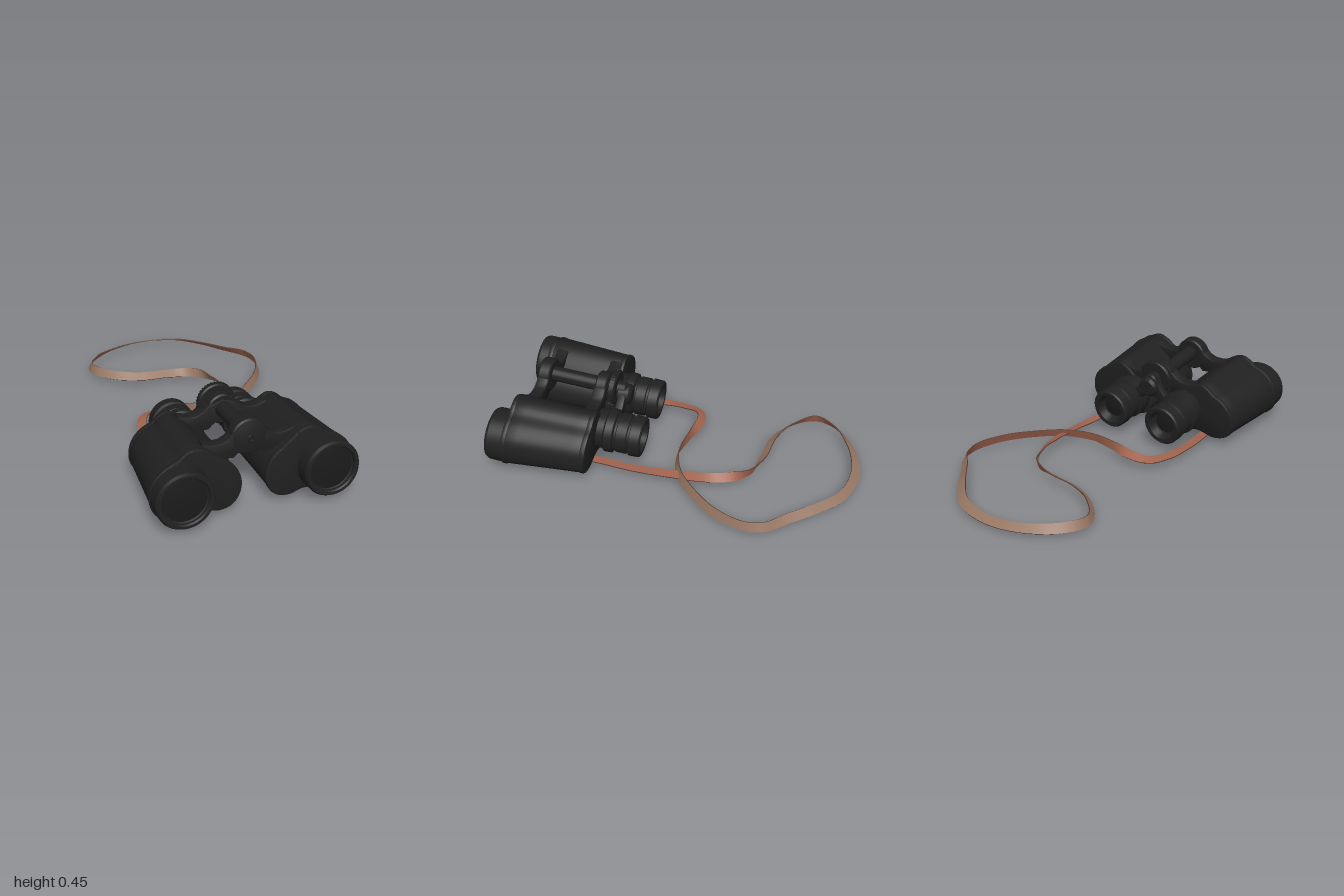
import * as THREE from 'three';
import { toCreasedNormals } from 'three/addons/utils/BufferGeometryUtils.js';

const mat = (name, color, side = THREE.FrontSide) => {
  const m = new THREE.MeshStandardMaterial({ color, side });
  m.name = name;
  return m;
};

export function createModel() {
  const black = mat('blackLeather', 0x202020);
  const glass = mat('darkGlass', 0x1a1a1a);
  const red = mat('strapOuterLeather', 0xa0634e);
  const tan = mat('strapInnerLeather', 0x957562);
  const edge = mat('strapEdge', 0x5a3a2e);

  const model = new THREE.Group();
  model.name = 'binocularsWithStrap';

  // Tilted frame: origin between the objectives, front slightly raised
  const optics = new THREE.Group();
  optics.name = 'binoculars';
  optics.position.set(-0.053, 0.18, 0.95);
  optics.rotation.x = -0.087;
  model.add(optics);

  const add = (parent, name, geo, material, x = 0, y = 0, z = 0) => {
    const m = new THREE.Mesh(geo, material);
    m.name = name;
    m.position.set(x, y, z);
    parent.add(m);
    return m;
  };
  const v2 = ([x, y]) => new THREE.Vector2(x, y);
  // Turned part along z; profile is [radius, z] from back to front
  const turned = (profile, seg = 48) =>
    toCreasedNormals(new THREE.LatheGeometry(profile.map(v2), seg).rotateX(Math.PI / 2), 0.5);
  const disc = (r, z0, z1, bevel = 0.008) =>
    turned([[0, z0], [r - bevel, z0], [r, z0 + bevel], [r, z1 - bevel], [r - bevel, z1], [0, z1]]);
  // Plate with rounded edges between two z positions
  const plate = (pts, z0, z1, bevel, steps = 1) => {
    const g = new THREE.ExtrudeGeometry(new THREE.Shape(pts), {
      depth: z1 - z0 - 2 * bevel, steps, bevelThickness: bevel, bevelSize: bevel,
      bevelOffset: -bevel, bevelSegments: 2, curveSegments: 1,
    });
    return g.translate(0, 0, z0 + bevel);
  };

  // Prism housing outline for one side
  const outline = [
    [0.525, 0], [0.507, 0.075], [0.447, 0.135], [0.38, 0.165], [0.345, 0.192], [0.295, 0.208],
    [0.24, 0.19], [0.17, 0.135], [0.1, 0.08], [0.066, 0], [0.076, -0.07], [0.12, -0.125],
    [0.19, -0.14], [0.26, -0.122], [0.31, -0.128], [0.38, -0.147], [0.455, -0.128], [0.508, -0.075],
  ];
  const housing = (s, grow, z0, z1, bevel, steps) => {
    const curve = new THREE.CatmullRomCurve3(
      outline.map(([x, y]) => new THREE.Vector3(
        s * (0.29 + (x - 0.29) * grow), y * grow, 0)), true);
    const pts = curve.getPoints(80).slice(0, -1).map((p) => new THREE.Vector2(p.x, p.y));
    const g = plate(pts, z0, z1, bevel, steps);
    // Taper towards the eyepieces
    const p = g.attributes.position;
    for (let i = 0; i < p.count; i++) {
      const t = (-0.05 - p.getZ(i)) / 0.46;
      const out = Math.max(0, (Math.abs(p.getX(i)) - 0.2) / 0.325);
      p.setX(i, p.getX(i) - s * 0.042 * t * out);
      if (p.getY(i) < 0) p.setY(i, p.getY(i) * (1 - 0.3 * t));
    }
    return toCreasedNormals(g, 0.6);
  };

  for (const [s, side] of [[1, 'left'], [-1, 'right']]) {
    add(optics, side + 'Housing', housing(s, 1, -0.505, -0.055, 0.012, 6), black);
    add(optics, side + 'FrontCover', housing(s, 1.018, -0.078, -0.05, 0.008, 1), black);
    add(optics, side + 'RearCover', housing(s, 1.018, -0.512, -0.482, 0.008, 1), black);

    // Objective barrel with recessed lens
    add(optics, side + 'Objective', turned([
      [0.13, -0.1], [0.147, -0.085], [0.146, 0.028], [0.138, 0.042], [0.124, 0.042],
      [0.118, 0.034], [0.118, 0.02], [0.11, 0.016],
    ]), black, s * 0.378);
    add(optics, side + 'ObjectiveLens', turned([[0.112, 0.017], [0.06, 0.023], [0, 0.025]]),
      glass, s * 0.378);

    // Eyepiece with stepped rings and a hollow eyecup
    add(optics, side + 'Eyepiece', turned([
      [0.062, -0.715], [0.07, -0.72], [0.085, -0.76], [0.106, -0.762], [0.114, -0.754],
      [0.116, -0.7], [0.104, -0.695], [0.104, -0.685], [0.112, -0.68], [0.112, -0.625],
      [0.104, -0.62], [0.104, -0.61], [0.122, -0.602], [0.124, -0.56], [0.11, -0.55], [0.11, -0.5],
    ]), black, s * 0.18, 0.04);
    add(optics, side + 'EyepieceLens', turned([[0, -0.722], [0.035, -0.719], [0.064, -0.714]]),
      glass, s * 0.18, 0.04);
  }

  // Symmetric arms joining the two sides, given as half outlines
  const arms = (half, z0, z1) => {
    const mirror = half.slice(1, -1).reverse().map(([x, y]) => [-x, y]);
    return toCreasedNormals(plate([...half, ...mirror].map(v2), z0, z1, 0.007), 0.6);
  };
  const bridge = [
    [0, 0.25], [0.08, 0.225], [0.105, 0.2], [0.14, 0.184], [0.19, 0.184], [0.24, 0.2],
    [0.24, 0.12], [0.13, 0.1], [0.08, 0.095], [0.06, 0.115], [0.035, 0.13], [0, 0.135],
  ];
  add(optics, 'frontBridge', arms(bridge, -0.165, -0.1), black);
  add(optics, 'rearBridge', arms(bridge, -0.495, -0.428), black);
  add(optics, 'focusArms', arms([
    [0, 0.215], [0.05, 0.2], [0.08, 0.15], [0.11, 0.125], [0.16, 0.14], [0.2, 0.12],
    [0.2, 0], [0.1, 0.02], [0.075, 0.06], [0.045, 0.105], [0, 0.115],
  ], -0.605, -0.56), black);

  // Central hinge and focusing parts
  add(optics, 'hingeRod', disc(0.042, -0.6, -0.1), black, 0, 0.2);
  add(optics, 'frontHingeCap', turned([
    [0, -0.168], [0.085, -0.168], [0.093, -0.16], [0.093, -0.108], [0.086, -0.1],
    [0.055, -0.092], [0.02, -0.086], [0, -0.086],
  ]), black, 0, 0.19);
  add(optics, 'hingeScrew', new THREE.TorusGeometry(0.013, 0.003, 8, 24), glass, 0, 0.19, -0.086);
  add(optics, 'rearHingeCap', disc(0.08, -0.495, -0.43), black, 0, 0.195);
  add(optics, 'focusWheel', disc(0.1, -0.548, -0.508), black, 0, 0.2);
  for (let i = 0; i < 36; i++) {
    const a = (i / 36) * Math.PI * 2;
    const rib = add(optics, 'focusWheelRib', new THREE.BoxGeometry(0.006, 0.008, 0.026), black,
      Math.cos(a) * 0.1, 0.2 + Math.sin(a) * 0.1, -0.528);
    rib.rotation.z = a;
  }
  add(optics, 'focusHub', disc(0.058, -0.632, -0.545, 0.015), black, 0, 0.172);

  // Strap path: x, y, z and twist in degrees
  const path = [
    [0.22, 0.022, 0.57, 0], [0.245, 0.038, 0.4, 0], [0.265, 0.04, 0.2, 0], [0.27, 0.05, 0, 10],
    [0.265, 0.055, -0.15, 20], [0.23, 0.055, -0.3, 50], [0.15, 0.055, -0.42, 105],
    [0, 0.055, -0.465, 145], [-0.17, 0.055, -0.49, 142], [-0.32, 0.055, -0.57, 128],
    [-0.415, 0.055, -0.7, 108], [-0.36, 0.053, -0.82, 125], [-0.2, 0.045, -0.93, 145],
    [0, 0.04, -0.975, 155], [0.2, 0.042, -0.93, 148], [0.33, 0.045, -0.82, 140],
    [0.45, 0.045, -0.68, 130], [0.545, 0.045, -0.57, 115], [0.565, 0.047, -0.46, 108],
    [0.51, 0.05, -0.3, 112], [0.4, 0.053, -0.16, 115], [0.26, 0.056, -0.045, 112],
    [0.1, 0.06, 0, 105], [-0.04, 0.065, -0.02, 88], [-0.2, 0.068, -0.055, 35],
    [-0.3, 0.058, -0.03, 20], [-0.35, 0.048, 0.08, 8], [-0.365, 0.04, 0.25, 0],
    [-0.36, 0.036, 0.4, 0], [-0.33, 0.024, 0.56, 0],
  ];
  const curve = new THREE.CatmullRomCurve3(path.map(([x, y, z]) => new THREE.Vector3(x, y, z)));
  const N = 290, up = new THREE.Vector3(0, 1, 0);
  const frames = [];
  for (let i = 0; i <= N; i++) {
    const t = i / N, f = Math.min(t * (path.length - 1), path.length - 1.0001), k = Math.floor(f);
    const twist = THREE.MathUtils.degToRad(
      THREE.MathUtils.lerp(path[k][3], path[k + 1][3], THREE.MathUtils.smoothstep(f - k, 0, 1)));
    const T = curve.getTangent(t);
    const S = new THREE.Vector3().crossVectors(up, T).normalize().multiplyScalar(Math.cos(twist))
      .addScaledVector(up, Math.sin(twist)).normalize();
    frames.push({ P: curve.getPoint(t), S, N: new THREE.Vector3().crossVectors(T, S).normalize() });
  }
  const corner = (f, [w, h]) =>
    f.P.clone().addScaledVector(f.S, w * 0.026).addScaledVector(f.N, h * 0.003).toArray();
  const strip = (from, to) => {
    const pos = [], idx = [];
    frames.forEach((f, i) => {
      pos.push(...corner(f, from), ...corner(f, to));
      const a = 2 * i;
      if (i < N) idx.push(a, a + 1, a + 3, a, a + 3, a + 2);
    });
    const g = new THREE.BufferGeometry();
    g.setAttribute('position', new THREE.Float32BufferAttribute(pos, 3));
    g.setIndex(idx);
    g.computeVertexNormals();
    return g;
  };
  const strap = new THREE.Group();
  strap.name = 'neckStrap';
  model.add(strap);
  add(strap, 'strapOuterFace', strip([1, 1], [-1, 1]), red);
  add(strap, 'strapInnerFace', strip([-1, -1], [1, -1]), tan);
  add(strap, 'strapEdgeA', strip([1, -1], [1, 1]), edge);
  add(strap, 'strapEdgeB', strip([-1, 1], [-1, -1]), edge);

  // Folded strap ends, keepers and the lugs holding them
  for (const [x, y, roll] of [[0.22, 0.024, 0], [-0.328, 0.034, 0.25]]) {
    const end = new THREE.Group();
    end.name = 'strapEnd';
    end.position.set(x, y, 0.56);
    end.rotation.z = roll;
    strap.add(end);
    add(end, 'foldedTab', new THREE.BoxGeometry(0.054, 0.044, 0.014), red, 0, 0, 0.01);
    add(end, 'keeper', new THREE.BoxGeometry(0.062, 0.022, 0.02), red, 0, 0.002, -0.07);
    add(end, 'lug', new THREE.BoxGeometry(0.03, 0.03, 0.02), black, 0, 0.025, -0.01);
  }
  return model;
}
